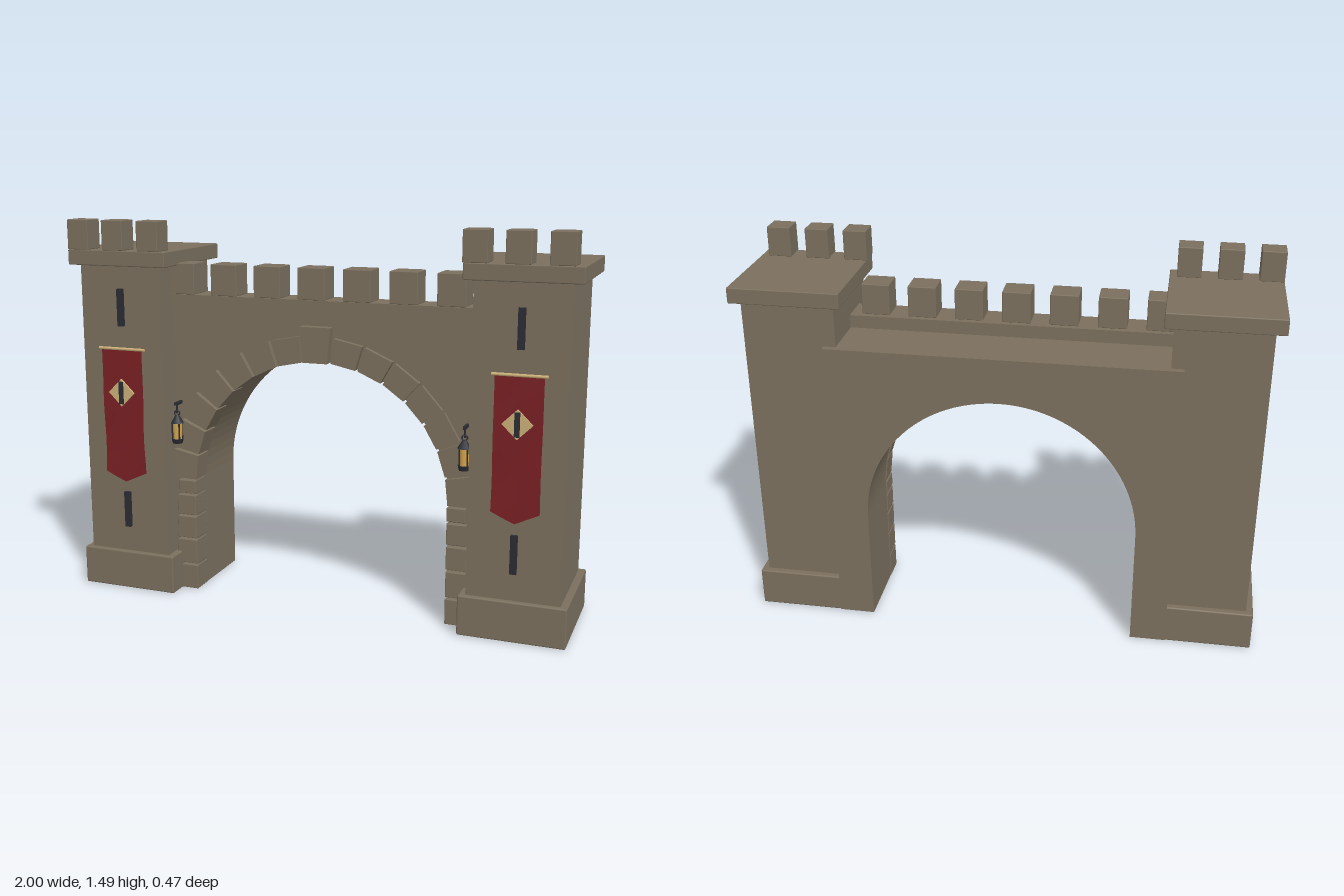
import * as THREE from 'three';
import { RoundedBoxGeometry } from 'three/addons/geometries/RoundedBoxGeometry.js';

const mat = (name, color, side = THREE.FrontSide) => {
  const m = new THREE.MeshStandardMaterial({ color, side });
  m.name = name;
  return m;
};

export function createModel() {
  const stone = mat('stone', 0x7b705e);
  const iron = mat('dark iron', 0x2b2d34);
  const cloth = mat('red cloth', 0x7a2024, THREE.DoubleSide);
  const gold = mat('pale gold', 0xcdb078);
  const glass = mat('amber glass', 0xd9a850);

  const root = new THREE.Group();
  root.name = 'castleGate';

  const add = (parent, name, geometry, material, x = 0, y = 0, z = 0) => {
    const mesh = new THREE.Mesh(geometry, material);
    mesh.name = name;
    mesh.position.set(x, y, z);
    parent.add(mesh);
    return mesh;
  };
  // Box given by its limits on each axis, optionally with softened edges
  const box = (parent, name, m, x0, x1, y0, y1, z0, z1, round = 0) => {
    const s = [x1 - x0, y1 - y0, z1 - z0];
    const g = round ? new RoundedBoxGeometry(...s, 1, round) : new THREE.BoxGeometry(...s);
    return add(parent, name, g, m, (x0 + x1) / 2, (y0 + y1) / 2, (z0 + z1) / 2);
  };
  const jitter = (i) => Math.sin(i * 12.9 + 1.3);

  // Gate wall with its arched opening
  const R = 0.522, SPRING = 0.46;
  const outline = new THREE.Shape();
  outline.moveTo(-0.66, 0);
  outline.lineTo(-R, 0);
  outline.lineTo(-R, SPRING);
  outline.absarc(0, SPRING, R, Math.PI, 0, true);
  outline.lineTo(R, 0);
  outline.lineTo(0.66, 0);
  outline.lineTo(0.66, 1.155);
  outline.lineTo(-0.66, 1.155);
  outline.closePath();
  const wall = new THREE.ExtrudeGeometry(outline, { depth: 0.34, bevelEnabled: false, curveSegments: 24 });
  add(root, 'gateWall', wall, stone, 0, 0, -0.225);

  // Parapet and its merlons
  box(root, 'parapet', stone, -0.62, 0.62, 1.155, 1.205, 0, 0.13);
  for (let i = 0; i < 7; i++) {
    const x = -0.565 + i * 0.18;
    box(root, 'wallMerlon', stone, x - 0.054, x + 0.054, 1.205, 1.325, 0.02, 0.125, 0.003);
  }

  // Arch stones: fifteen wedges, the middle one a taller keystone
  for (let i = 0; i < 15; i++) {
    const key = i === 7;
    const r0 = 0.515 + 0.004 * jitter(i);
    const r1 = key ? 0.65 : 0.616 + 0.006 * jitter(i + 5);
    const half = THREE.MathUtils.degToRad(key ? 5.4 : 5.45);
    const wedge = new THREE.Shape([
      [r0, -half], [r1, -half], [r1, half], [r0, half],
    ].map(([r, a]) => new THREE.Vector2(r * Math.cos(a), r * Math.sin(a))));
    const g = new THREE.ExtrudeGeometry(wedge, { depth: (key ? 0.1 : 0.088) + 0.005 * jitter(i + 9), bevelEnabled: false });
    const m = add(root, key ? 'keystone' : 'archStone', g, stone, 0, SPRING, 0.05);
    m.rotation.z = THREE.MathUtils.degToRad(6 + 12 * i);
  }

  // Jamb stones below the arch
  const rows = [0, 0.104, 0.212, 0.31, 0.4, 0.462];
  for (const s of [-1, 1]) {
    for (let i = 0; i < 5; i++) {
      const a = s * (0.516 + 0.003 * jitter(i + s)), b = s * (0.596 + 0.008 * jitter(i * 2 + s));
      box(root, 'jambStone', stone, Math.min(a, b), Math.max(a, b),
        rows[i] + (i ? 0.004 : 0), rows[i + 1] - 0.004, 0.05, 0.138 + 0.005 * jitter(i + 3 * s), 0.003);
    }
  }

  // Banner cloth: pointed hem and a gentle ripple that grows downward
  const bannerGeometry = new THREE.PlaneGeometry(0.176, 1, 8, 16);
  const p = bannerGeometry.attributes.position;
  for (let i = 0; i < p.count; i++) {
    const x = p.getX(i), t = 0.5 - p.getY(i);
    const hem = 0.45 + 0.04 * Math.abs(x) / 0.088;
    p.setY(i, 0.985 - t * (0.985 - hem));
    p.setZ(i, 0.217 + 0.006 * t * Math.sin(t * 9 + x * 22));
  }
  bannerGeometry.computeVertexNormals();

  const diamond = new THREE.Shape([[0, -0.055], [0.056, 0], [0, 0.055], [-0.056, 0]]
    .map(([x, y]) => new THREE.Vector2(x, y)));
  const diamondGeometry = new THREE.ExtrudeGeometry(diamond, { depth: 0.008, bevelEnabled: false });

  // Towers, each built around its own centre line
  for (const s of [-1, 1]) {
    const tower = new THREE.Group();
    tower.name = s > 0 ? 'leftTower' : 'rightTower';
    tower.position.x = s * 0.788;
    root.add(tower);

    box(tower, 'towerShaft', stone, -0.175, 0.175, 0.1, 1.32, -0.2, 0.205);
    box(tower, 'towerBase', stone, -0.202, 0.202, 0, 0.155, -0.225, 0.225, 0.006);
    const cap = box(tower, 'towerCap', stone, -0.21, 0.21, 1.315, 1.375, -0.235, 0.235, 0.004);
    cap.position.x = s * 0.002;
    for (let i = 0; i < 3; i++) {
      const x = -0.166 + i * 0.151;
      box(tower, 'towerMerlon', stone, x - 0.045, x + 0.045, 1.375, 1.49, 0.145, 0.235, 0.003);
    }
    for (const y of [0.26, 1.08]) {
      box(tower, 'arrowSlit', iron, -0.0125, 0.0125, y, y + 0.146, 0.2, 0.22);
    }

    add(tower, 'banner', bannerGeometry, cloth);
    const rod = add(tower, 'bannerRod', new THREE.CylinderGeometry(0.006, 0.006, 0.2, 8), gold, 0, 0.99, 0.216);
    rod.rotation.z = Math.PI / 2;
    add(tower, 'bannerDiamond', diamondGeometry, gold, 0, 0.817, 0.224);
    box(tower, 'bannerBar', iron, -0.01, 0.01, 0.772, 0.862, 0.227, 0.235);
  }

  // Lanterns hung from brackets beside the arch
  for (const s of [-1, 1]) {
    const lantern = new THREE.Group();
    lantern.name = s > 0 ? 'leftLantern' : 'rightLantern';
    lantern.position.set(s * 0.584, 0, 0.155);
    root.add(lantern);

    box(lantern, 'bracketArm', iron, -0.005, 0.005, 0.768, 0.78, -0.05, 0.014);
    box(lantern, 'hangingLink', iron, -0.003, 0.003, 0.735, 0.77, -0.003, 0.003);
    const ring = add(lantern, 'lanternRing', new THREE.TorusGeometry(0.01, 0.003, 6, 12), iron, 0, 0.736, 0);
    ring.rotation.y = 0.3;
    add(lantern, 'lanternRoof', new THREE.CylinderGeometry(0.007, 0.027, 0.032, 8), iron, 0, 0.712, 0);
    add(lantern, 'lanternGlass', new THREE.CylinderGeometry(0.021, 0.018, 0.066, 8), glass, 0, 0.664, 0);
    add(lantern, 'lanternFoot', new THREE.CylinderGeometry(0.025, 0.02, 0.018, 8), iron, 0, 0.623, 0);
    for (let i = 0; i < 4; i++) {
      const a = Math.PI / 4 + i * Math.PI / 2;
      add(lantern, 'lanternBar', new THREE.BoxGeometry(0.005, 0.07, 0.005), iron,
        0.021 * Math.cos(a), 0.664, 0.021 * Math.sin(a));
    }
  }

  return root;
}
